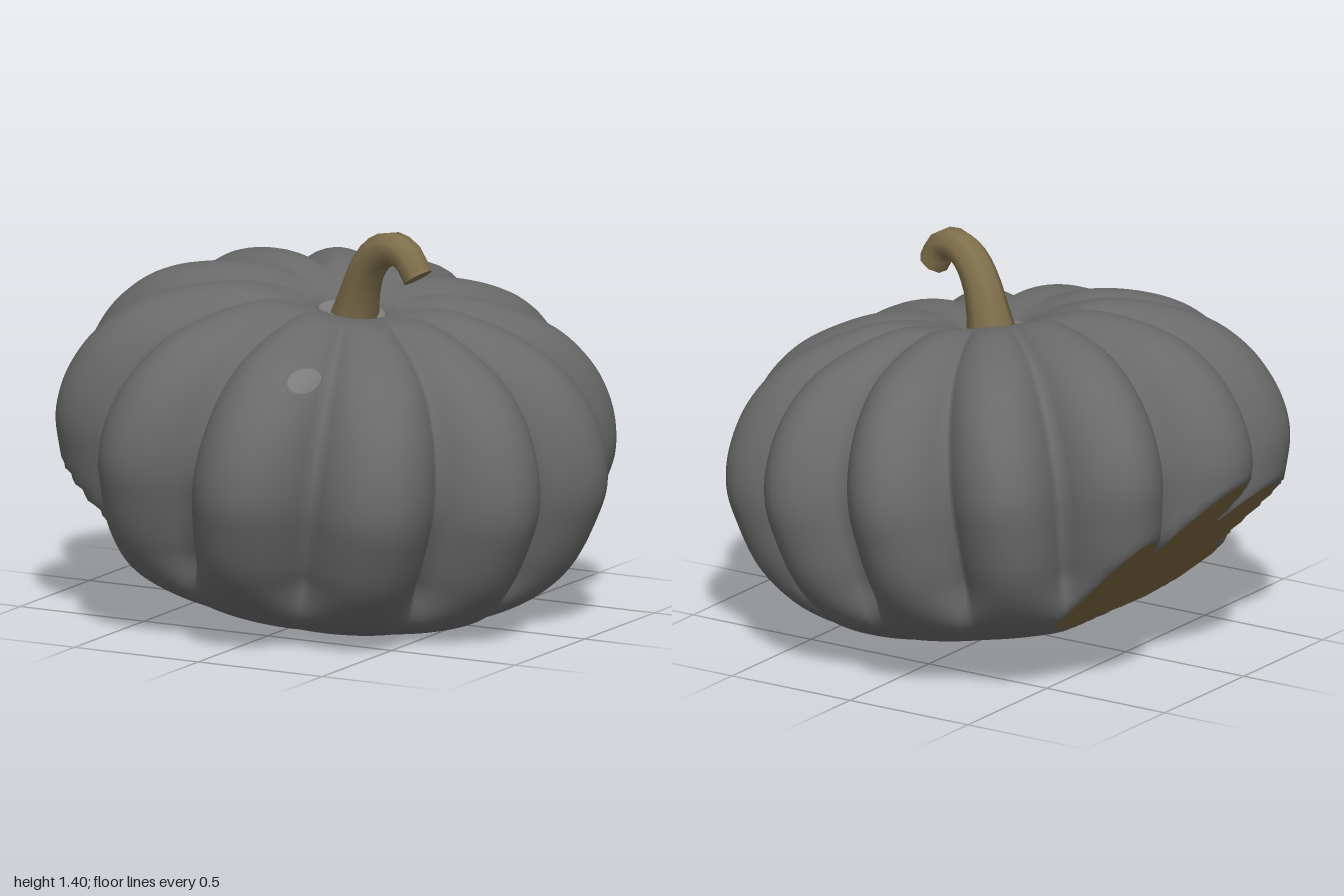
import * as THREE from 'three';

const mat = (name, color) => {
  const m = new THREE.MeshStandardMaterial({ color });
  m.name = name;
  return m;
};

// Rib directions seen from above, in degrees from +x towards +z
const RIBS = [-11.5, 20, 50.5, 84, 115, 147, 180, 209, 237.5, 264, 293.5, 320];
const PER_RIB = 12, ROWS = 110;
const COLS = RIBS.length * PER_RIB;

// Outline through the crest of a rib, bottom to top
const outline = new THREE.SplineCurve([
  [0, -0.53], [0.2, -0.55], [0.4, -0.56], [0.6, -0.53], [0.78, -0.44], [0.91, -0.29],
  [0.98, -0.1], [1, 0.03], [0.97, 0.17], [0.89, 0.31], [0.76, 0.425], [0.58, 0.5],
  [0.4, 0.535], [0.25, 0.52], [0.12, 0.485], [0, 0.465],
].map(([r, y]) => new THREE.Vector2(r, y)));

const tilt = new THREE.Euler(THREE.MathUtils.degToRad(3), 0, THREE.MathUtils.degToRad(-9));
const centre = new THREE.Vector3(0, 0.635, 0);

// Slanted cut low on the -x side
const cutNormal = new THREE.Vector3(-0.714, -0.7, 0.02).normalize();
const cutDistance = cutNormal.dot(new THREE.Vector3(-0.7, 0.425, 0).sub(centre));

const SKIN = 0, CUT = 1, HOLLOW = 2;

// Direction of the groove before rib k
function grooveAngle(k) {
  const n = RIBS.length;
  const at = (i) => RIBS[((i % n) + n) % n] + 360 * Math.floor(i / n);
  return THREE.MathUtils.degToRad((at(k - 1) + at(k)) / 2);
}

// Point of the ribbed surface: `rib` counts ribs around, `v` runs from bottom to top
function surfacePoint(rib, v) {
  const { x: r, y } = outline.getPointAt(v);
  const k = Math.floor(rib), t = rib - k;
  const angle = THREE.MathUtils.lerp(grooveAngle(k), grooveAngle(k + 1), t);
  // Grooves fade out towards the underside and the stem
  const fade = y > 0
    ? THREE.MathUtils.smoothstep(r, 0.12, 0.5)
    : 0.1 + 0.9 * THREE.MathUtils.smoothstep(y, -0.53, -0.28);
  const groove = fade * Math.pow(Math.abs(2 * t - 1), 2);
  const radius = r * (1 - 0.19 * groove);
  let height = y > 0 ? y * (1 - 0.05 * groove) : y;
  let region = SKIN;
  // Hollows at the stem and the underside
  if (r < 0.13) {
    region = HOLLOW;
    height += y > 0 ? -0.015 : 0.06;
  }
  const p = new THREE.Vector3(Math.cos(angle) * radius, height, Math.sin(angle) * radius);
  p.applyEuler(tilt);
  // Flatten everything beyond the cut plane
  const reach = cutNormal.dot(p);
  if (reach > cutDistance) {
    p.multiplyScalar(cutDistance / reach);
    region = CUT;
  }
  return { p: p.add(centre), region };
}

function buildSurface(positions, index) {
  const g = new THREE.BufferGeometry();
  g.setAttribute('position', new THREE.Float32BufferAttribute(positions, 3));
  g.setIndex(index);
  g.computeVertexNormals();
  return g;
}

function buildPumpkin() {
  const positions = [], regions = [];
  for (let i = 0; i <= ROWS; i++) {
    for (let c = 0; c < COLS; c++) {
      const { p, region } = surfacePoint(c / PER_RIB, i / ROWS);
      positions.push(p.x, p.y, p.z);
      regions.push(region);
    }
  }
  // Sort the triangles into skin, cut face and hollows
  const faces = [[], [], []];
  const add = (a, b, c) => {
    const same = regions[a] === regions[b] && regions[b] === regions[c];
    faces[same ? regions[a] : SKIN].push(a, b, c);
  };
  for (let i = 0; i < ROWS; i++) {
    for (let c = 0; c < COLS; c++) {
      const a = i * COLS + c, b = i * COLS + (c + 1) % COLS;
      add(a, a + COLS, b);
      add(a + COLS, b + COLS, b);
    }
  }
  return faces.map((index) => buildSurface(positions, index));
}

// Small round spot that follows the skin, high on the front
function buildSpot() {
  const rings = 4, sides = 14, positions = [], index = [];
  const out = new THREE.Vector3();
  for (let i = 0; i <= rings; i++) {
    for (let j = 0; j < sides; j++) {
      const a = (j / sides) * Math.PI * 2, s = i / rings;
      const { p } = surfacePoint(3.21 + 0.13 * s * Math.cos(a), 0.705 + 0.025 * s * Math.sin(a));
      p.addScaledVector(out.copy(p).sub(centre).normalize(), 0.006);
      positions.push(p.x, p.y, p.z);
      if (i === rings) continue;
      const q = i * sides + j, n = i * sides + (j + 1) % sides;
      index.push(q, n, q + sides, n, n + sides, q + sides);
    }
  }
  return buildSurface(positions, index);
}

// Hooked stem: a tube tapered towards its tip
function buildStem(material) {
  const group = new THREE.Group();
  group.name = 'stem';
  const curve = new THREE.CatmullRomCurve3([
    [0.07, 1.05, 0.01], [0.095, 1.14, 0.02], [0.14, 1.25, 0.04], [0.2, 1.325, 0.06],
    [0.27, 1.355, 0.08], [0.34, 1.335, 0.1], [0.385, 1.265, 0.105],
  ].map((p) => new THREE.Vector3(...p)));
  const steps = 14, sides = 8;
  const tube = new THREE.TubeGeometry(curve, steps, 1, sides);
  const pos = tube.attributes.position, v = new THREE.Vector3();
  const thickness = (t) => 0.055 + 0.02 * (1 - t) + 0.025 * Math.pow(1 - t, 6);
  for (let i = 0; i < pos.count; i++) {
    const t = Math.floor(i / (sides + 1)) / steps;
    const p = curve.getPointAt(t);
    v.fromBufferAttribute(pos, i).sub(p).multiplyScalar(thickness(t)).add(p);
    pos.setXYZ(i, v.x, v.y, v.z);
  }
  const shaft = new THREE.Mesh(tube, material);
  shaft.name = 'stemShaft';
  const tip = new THREE.Mesh(new THREE.CircleGeometry(thickness(1), sides * 2), material);
  tip.name = 'stemTip';
  tip.position.copy(curve.getPointAt(1));
  tip.quaternion.setFromUnitVectors(new THREE.Vector3(0, 0, 1), curve.getTangentAt(1));
  group.add(shaft, tip);
  return group;
}

export function createModel() {
  const model = new THREE.Group();
  model.name = 'pumpkin';
  const skin = mat('skinGrey', 0x6a6a6a);
  const flesh = mat('fleshBrown', 0x7a6640);
  const hollow = mat('hollowGrey', 0x7c7c7c);
  const add = (name, geometry, material) => {
    const mesh = new THREE.Mesh(geometry, material);
    mesh.name = name;
    model.add(mesh);
  };
  const [skinShape, cutShape, hollowShape] = buildPumpkin();
  add('ribbedSkin', skinShape, skin);
  add('cutFace', cutShape, flesh);
  add('hollows', hollowShape, hollow);
  add('frontSpot', buildSpot(), hollow);
  model.add(buildStem(mat('stemOlive', 0x80704c)));
  return model;
}
